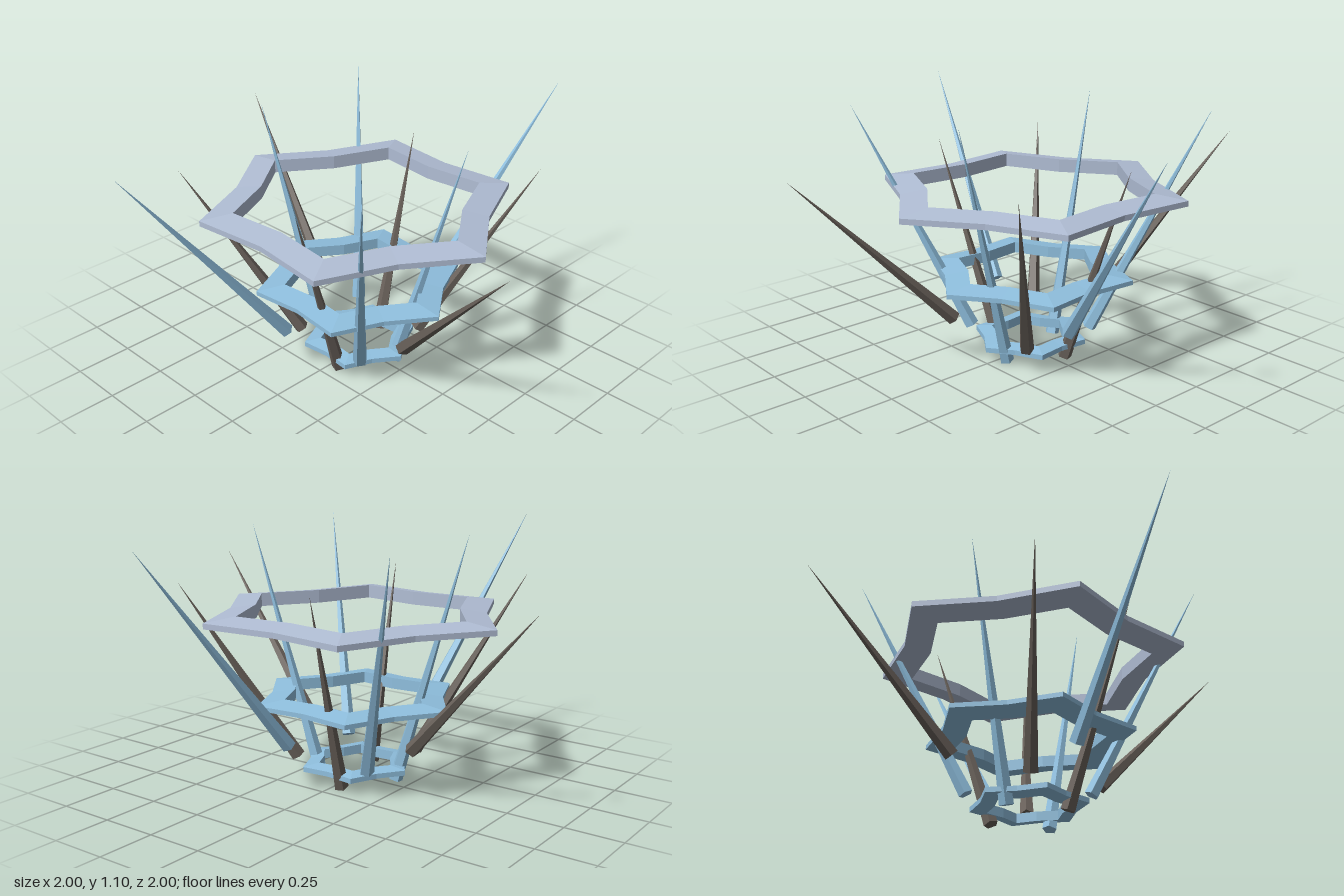
import * as THREE from 'three';

const flat = (name, color) => {
  const m = new THREE.MeshStandardMaterial({ color, flatShading: true });
  m.name = name;
  return m;
};

// Six-pointed ring with a section that thins towards its outer edge
function starRing(outer, inner, innerHeight, outerHeight) {
  const dip = 0.813, n = 12;
  const section = [
    [outer, -outerHeight / 2], [outer, outerHeight / 2],
    [inner, innerHeight / 2], [inner, -innerHeight / 2],
  ];
  const pos = [], index = [];
  for (let i = 0; i < n; i++) {
    const a = Math.PI / 6 * (i + 1);
    const s = i % 2 ? dip : 1;
    for (const [r, y] of section) pos.push(r * s * Math.cos(a), y, r * s * Math.sin(a));
    for (let j = 0; j < 4; j++) {
      const k = (j + 1) % 4, m = (i + 1) % n;
      const p = i * 4 + j, q = i * 4 + k, u = m * 4 + k, v = m * 4 + j;
      index.push(p, q, u, p, u, v);
    }
  }
  const g = new THREE.BufferGeometry();
  g.setAttribute('position', new THREE.Float32BufferAttribute(pos, 3));
  g.setIndex(index);
  const out = g.toNonIndexed();
  out.computeVertexNormals();
  return out;
}

// Pointed spike running from its base centre to its tip
function spike(base, tip, material, name) {
  const dir = tip.clone().sub(base);
  const mesh = new THREE.Mesh(new THREE.ConeGeometry(0.032, dir.length(), 5), material);
  mesh.position.copy(base).add(tip).multiplyScalar(0.5);
  mesh.quaternion.setFromUnitVectors(new THREE.Vector3(0, 1, 0), dir.normalize());
  mesh.name = name;
  return mesh;
}

export function createModel() {
  const model = new THREE.Group();
  model.name = 'spikedCrown';
  const iceBlue = flat('iceBlue', 0x8fbfde);
  const paleGrey = flat('paleGrey', 0xb0bdd4);
  const darkStone = flat('darkStone', 0x6a625b);

  // Three stacked rings
  const rings = [
    ['lowerRing', 0.065, 0.255, 0.18, 0.042, 0.022, iceBlue],
    ['middleRing', 0.365, 0.46, 0.335, 0.05, 0.02, iceBlue],
    ['upperRing', 0.735, 0.68, 0.54, 0.06, 0.024, paleGrey],
  ];
  for (const [name, y, outer, inner, hi, ho, mat] of rings) {
    const ring = new THREE.Mesh(starRing(outer, inner, hi, ho), mat);
    ring.position.y = y;
    ring.name = name;
    model.add(ring);
  }

  // Three tiers of four spikes: first tip, base scale, base height, first colour is blue
  const tiers = [
    ['innerSpike', 0.12, 0.475, 0.37, 0.01, true],
    ['middleSpike', 0.535, 0.535, 0.345, 0.11, false],
    ['outerSpike', 1.0, 0.28, 0.35, 0.212, true],
  ];
  for (const [name, x, z, scale, baseY, blueFirst] of tiers) {
    for (let i = 0; i < 4; i++) {
      const blue = (i % 2 === 0) === blueFirst;
      const a = i * Math.PI / 2;
      const tx = x * Math.cos(a) + z * Math.sin(a);
      const tz = z * Math.cos(a) - x * Math.sin(a);
      model.add(spike(
        new THREE.Vector3(tx * scale, baseY, tz * scale),
        new THREE.Vector3(tx, blue ? 1.095 : 0.895, tz),
        blue ? iceBlue : darkStone, name + (i + 1)));
    }
  }
  return model;
}
